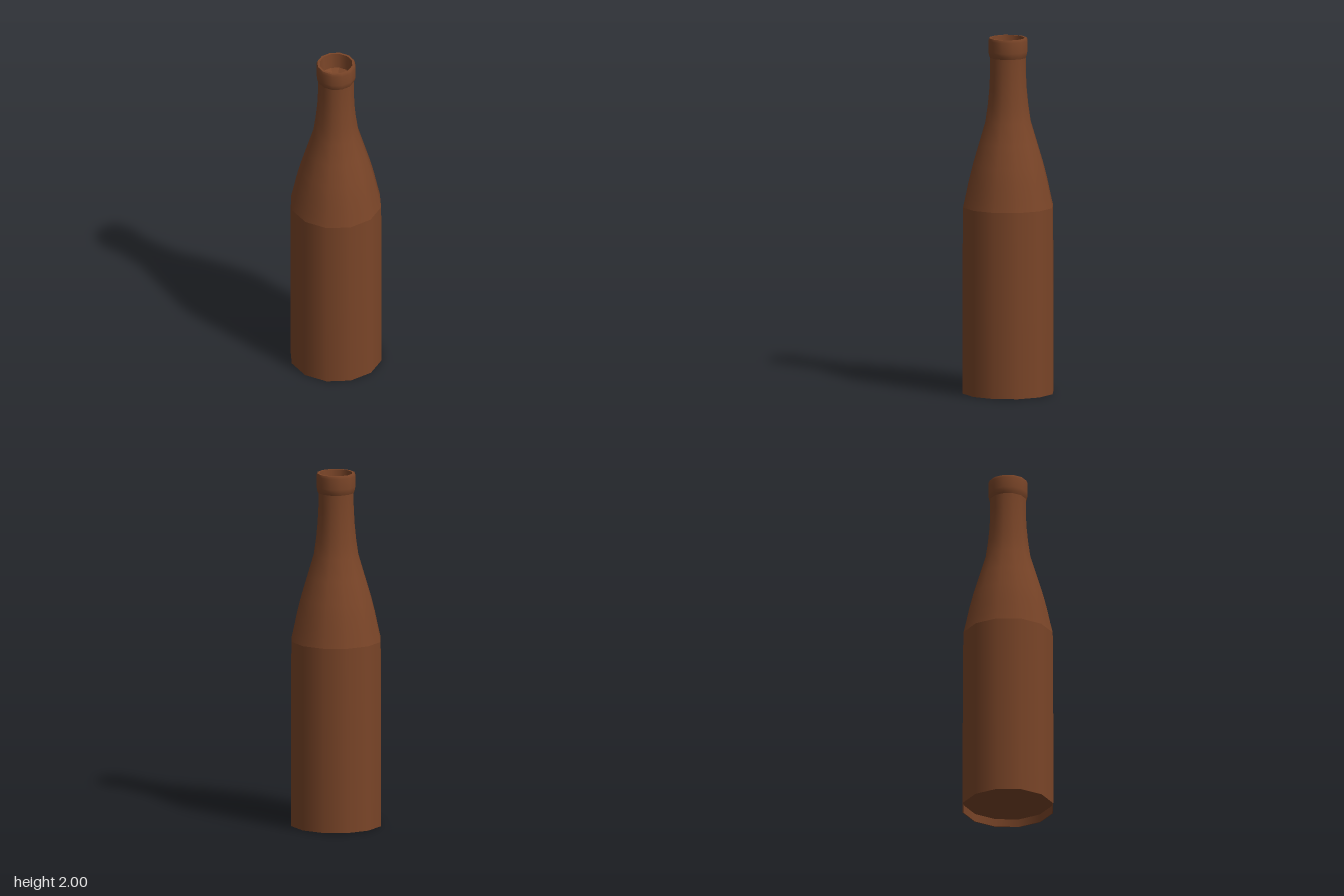
import * as THREE from 'three';

const SIDES = 12;

export function createModel() {
  const bottle = new THREE.Group();
  bottle.name = 'bottle';
  const brownGlass = new THREE.MeshStandardMaterial({ color: 0x7a4528 });
  brownGlass.name = 'brownGlass';

  // Each section is turned separately so the joins between them stay crisp
  const turn = (name, profile, faceted = false) => {
    let geometry = new THREE.LatheGeometry(profile.map(([r, y]) => new THREE.Vector2(r, y)), SIDES);
    if (faceted) {
      geometry = geometry.toNonIndexed();
      geometry.computeVertexNormals();
    }
    const mesh = new THREE.Mesh(geometry, brownGlass);
    mesh.name = name;
    bottle.add(mesh);
  };

  // Recessed base: flat underside, short inner wall, thin foot
  turn('baseUnderside', [[0, 0.045], [0.254, 0.045]]);
  turn('baseInnerWall', [[0.254, 0.045], [0.256, 0]]);
  turn('footRing', [[0.256, 0], [0.26, 0]]);

  // Straight body and tapering shoulder
  turn('body', [[0.26, 0], [0.26, 0.55], [0.257, 1.05]]);
  turn('shoulderAndNeck', [
    [0.257, 1.05], [0.243, 1.11], [0.224, 1.2], [0.201, 1.29], [0.165, 1.41], [0.129, 1.53],
    [0.116, 1.62], [0.107, 1.71], [0.102, 1.81], [0.102, 1.89],
  ]);

  // Lip with a rounded collar
  turn('lipCollar', [[0.102, 1.89], [0.108, 1.905], [0.112, 1.925], [0.112, 1.985], [0.106, 2]]);
  turn('lipTop', [[0.106, 2], [0.093, 2]]);
  turn('mouthWall', [[0.093, 2], [0.088, 1.91]]);

  // Faceted funnel closing the mouth
  turn('mouthFunnel', [[0.088, 1.91], [0, 1.83]], true);

  return bottle;
}
